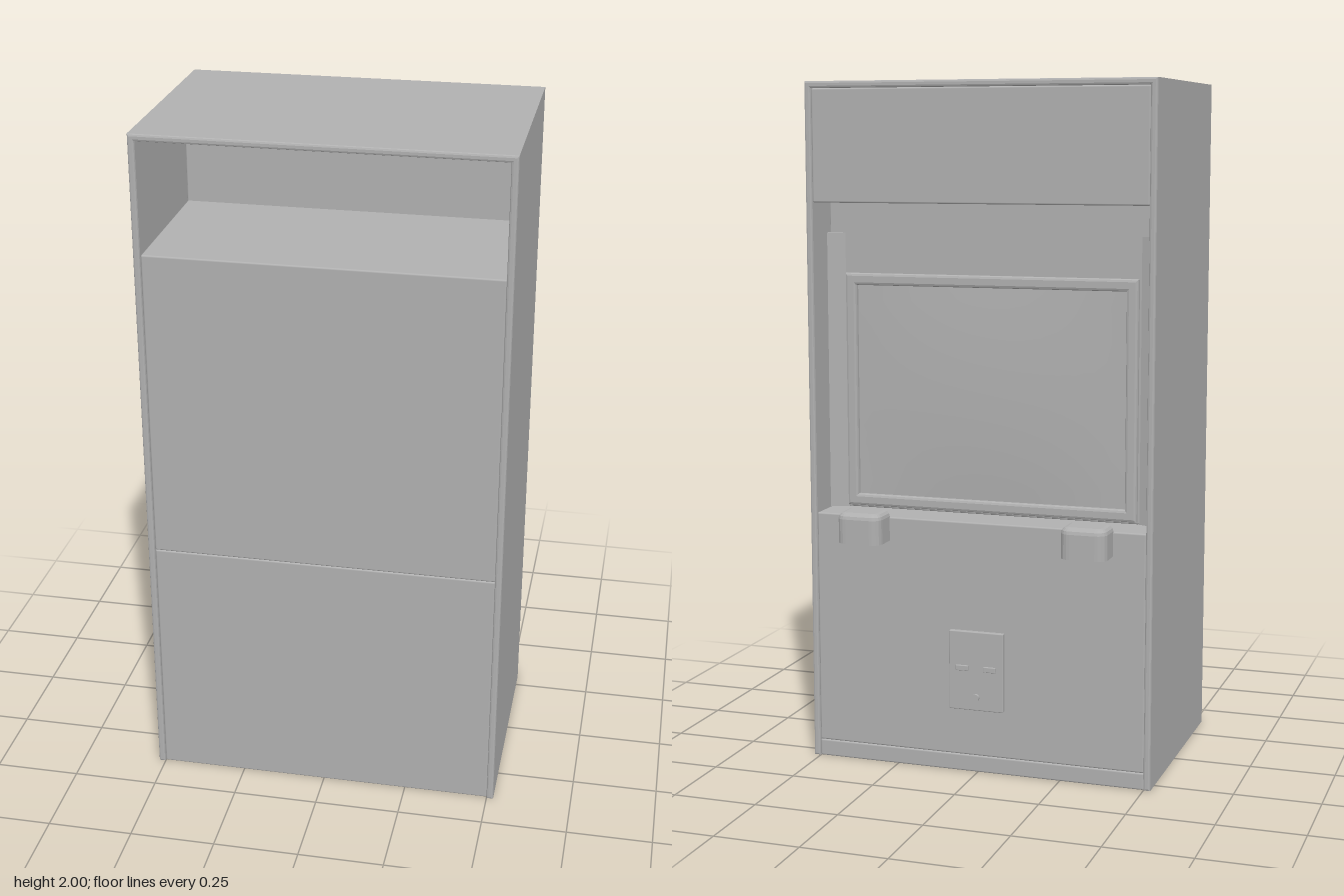
import * as THREE from 'three';
import { RoundedBoxGeometry } from 'three/addons/geometries/RoundedBoxGeometry.js';

export function createModel() {
  const group = new THREE.Group();
  const grey = new THREE.MeshStandardMaterial({ color: 0xb0b0b0 });
  grey.name = 'cabinetGrey';

  const add = (name, geometry) => {
    const mesh = new THREE.Mesh(geometry, grey);
    mesh.name = name;
    group.add(mesh);
    return mesh;
  };
  // Soft-edged block given by its limits on each axis
  const block = (name, [x0, x1], [y0, y1], [z0, z1], r = 0.005) => {
    const g = new RoundedBoxGeometry(x1 - x0, y1 - y0, z1 - z0, 2, r);
    g.translate((x0 + x1) / 2, (y0 + y1) / 2, (z0 + z1) / 2);
    return add(name, g);
  };
  const rect = (T, x0, x1, y0, y1) => {
    const s = new T();
    s.moveTo(x0, y0).lineTo(x1, y0).lineTo(x1, y1).lineTo(x0, y1).closePath();
    return s;
  };

  // Outer case: two sides and a roof, open at front and back
  const outline = [[-0.52, 0], [-0.5, 0], [-0.5, 1.98], [0.5, 1.98], [0.5, 0], [0.52, 0], [0.52, 2], [-0.52, 2]];
  const bevel = 0.006;
  const shell = new THREE.ExtrudeGeometry(new THREE.Shape(outline.map(([x, y]) => new THREE.Vector2(x, y))), {
    depth: 0.69 - 2 * bevel, bevelThickness: bevel, bevelSize: bevel, bevelOffset: -bevel, bevelSegments: 2,
  });
  shell.translate(0, 0, -0.305 + bevel);
  add('outerCase', shell);

  // Body panels filling the case
  const wide = [-0.5, 0.5];
  block('lowerBody', wide, [0, 0.745], [-0.19, 0.378]);
  block('lowerPanel', wide, [0.05, 0.745], [-0.3, -0.17]);
  block('kickPlate', wide, [0, 0.05], [-0.3, -0.17]);
  block('upperBody', wide, [0.745, 1.66], [-0.18, 0.378]);
  block('headerBox', wide, [1.655, 1.98], [-0.3, -0.1]);

  // Raised frame around the screen
  const frameShape = rect(THREE.Shape, -0.445, 0.445, 0.753, 1.447);
  frameShape.holes.push(rect(THREE.Path, -0.41, 0.41, 0.788, 1.412));
  const frame = new THREE.ExtrudeGeometry(frameShape, {
    depth: 0.01, bevelThickness: 0.008, bevelSize: 0.008, bevelOffset: -0.008, bevelSegments: 2,
  });
  frame.translate(0, 0, -0.192);
  add('screenFrame', frame);

  // Gently domed screen
  const screen = new THREE.PlaneGeometry(0.84, 0.645, 16, 12);
  const pos = screen.attributes.position;
  for (let i = 0; i < pos.count; i++) {
    const u = pos.getX(i) / 0.42, v = pos.getY(i) / 0.3225;
    pos.setZ(i, 0.012 * (1 - u * u) * (1 - v * v));
  }
  screen.computeVertexNormals();
  screen.rotateY(Math.PI).translate(0, 1.1, -0.183);
  add('screen', screen);

  for (const side of [-1, 1]) {
    const label = side > 0 ? 'left' : 'right';

    // Slanted trim strip between screen and side wall
    const wedge = new THREE.Shape();
    wedge.moveTo(side * 0.445, 0.178).lineTo(side * 0.5, 0.178).lineTo(side * 0.5, 0.2).closePath();
    const strip = new THREE.ExtrudeGeometry(wedge, { depth: 0.82, bevelEnabled: false });
    strip.rotateX(-Math.PI / 2).translate(0, 0.745, 0);
    add(label + 'TrimStrip', strip);

    // Hand control: rounded in plan with a bevelled top
    const b = 0.018, x0 = 0.27 + b, x1 = 0.405 - b, z1 = 0.385 - b, r = 0.014;
    const plan = new THREE.Shape();
    plan.moveTo(x0, 0.298).lineTo(x1, 0.298).lineTo(x1, z1 - r).quadraticCurveTo(x1, z1, x1 - r, z1)
      .lineTo(x0 + r, z1).quadraticCurveTo(x0, z1, x0, z1 - r).closePath();
    const grip = new THREE.ExtrudeGeometry(plan, {
      depth: 0.072, bevelThickness: b, bevelSize: b, bevelSegments: 3, curveSegments: 5,
    });
    // Flatten the lower bevel so the underside is square, and the back onto the panel
    const p = grip.attributes.position;
    for (let i = 0; i < p.count; i++) {
      p.setZ(i, Math.max(p.getZ(i), 0));
      p.setY(i, Math.max(p.getY(i), 0.298));
    }
    grip.computeVertexNormals();
    grip.rotateX(-Math.PI / 2).translate(side > 0 ? 0 : -0.675, 0.675, 0);
    add(label + 'HandControl', grip);

    // Slot on the service plate
    block(label + 'Slot', [side * 0.042 - 0.019, side * 0.042 + 0.019], [0.308, 0.324], [-0.318, -0.308], 0.002);
  }

  // Service plate with a round lock
  block('servicePlate', [-0.083, 0.083], [0.19, 0.425], [-0.313, -0.295], 0.003);
  const lock = new THREE.CylinderGeometry(0.011, 0.011, 0.014, 20);
  lock.rotateX(Math.PI / 2).translate(0, 0.23, -0.315);
  add('lock', lock);

  return group;
}
